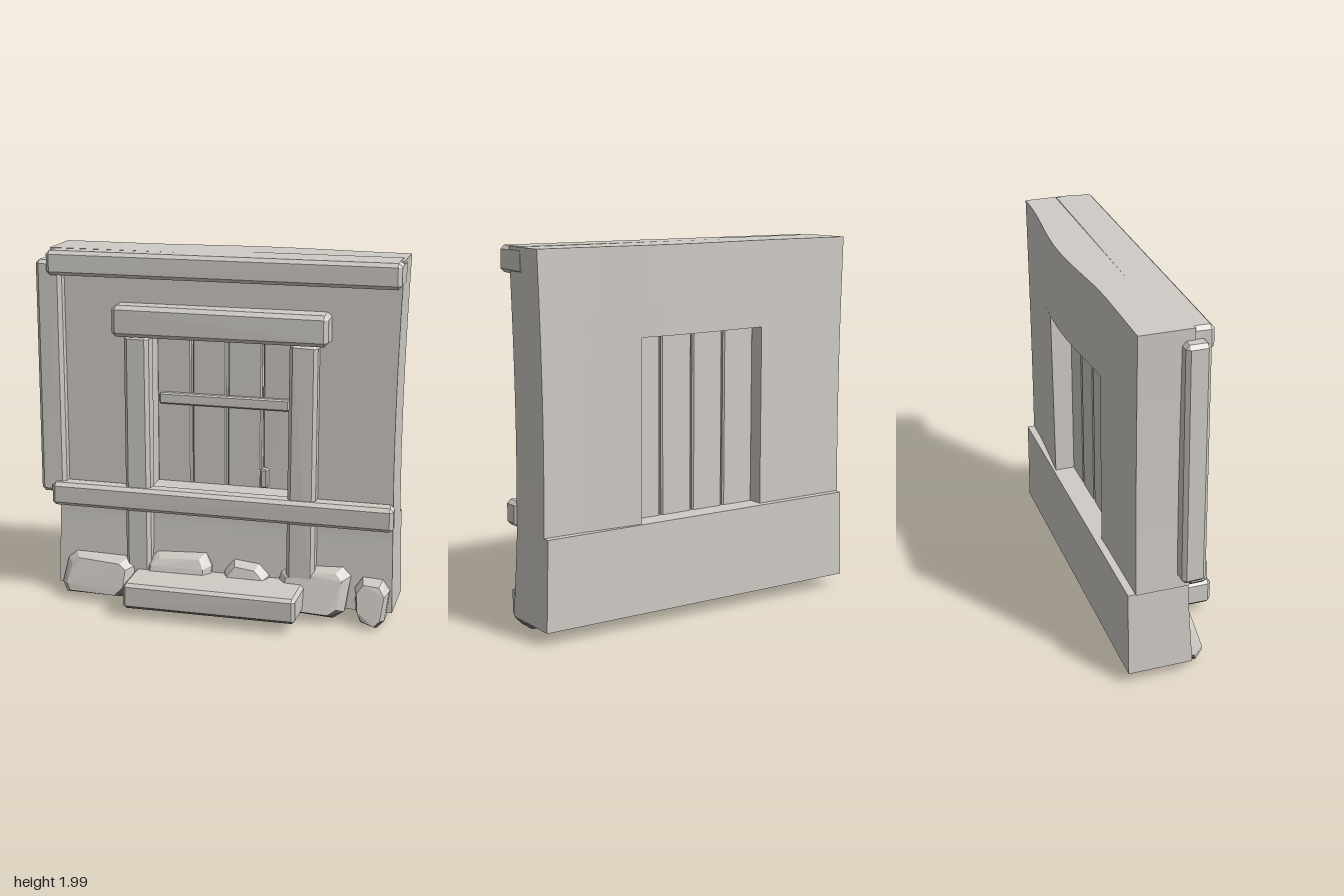
import * as THREE from 'three';
import { ConvexGeometry } from 'three/addons/geometries/ConvexGeometry.js';

export function createModel() {
  const model = new THREE.Group();
  const clay = new THREE.MeshStandardMaterial({ color: 0xcfcbc5 });
  clay.name = 'warm grey';
  const dirt = new THREE.MeshStandardMaterial({ color: 0x787571 });
  dirt.name = 'dark underside';

  let seed = 7;
  const jitter = (a) => {
    seed = (seed * 16807) % 2147483647;
    return (seed / 2147483647 - 0.5) * 2 * a;
  };
  const add = (name, geometry, material = clay) => {
    const mesh = new THREE.Mesh(geometry, material);
    mesh.name = name;
    model.add(mesh);
  };

  // Parts resting on the ground: faces that look down get the dark colour
  const addGrounded = (name, geometry) => {
    geometry.clearGroups();
    const normal = geometry.attributes.normal;
    for (let i = 0; i < normal.count; i += 3) {
      geometry.addGroup(i, 3, normal.getY(i) < -0.4 ? 1 : 0);
    }
    add(name, geometry, [clay, dirt]);
  };

  // Chamfered block between two corners, c = chamfer, j = hand-hewn wobble
  const blockGeometry = (x0, x1, y0, y1, z0, z1, c = 0.02, j = 0.003) => {
    const points = [];
    const half = [(x1 - x0) / 2, (y1 - y0) / 2, (z1 - z0) / 2];
    for (const sx of [-1, 1]) for (const sy of [-1, 1]) for (const sz of [-1, 1]) {
      const wobble = [jitter(j), jitter(j), jitter(j)];
      for (let axis = 0; axis < 3; axis++) {
        const p = [sx, sy, sz].map((s, i) => s * (half[i] - (i === axis ? 0 : c) - j) + wobble[i]);
        points.push(new THREE.Vector3((x0 + x1) / 2 + p[0], (y0 + y1) / 2 + p[1], (z0 + z1) / 2 + p[2]));
      }
    }
    return new ConvexGeometry(points);
  };
  const block = (name, ...size) => add(name, blockGeometry(...size));

  // Wall sections, warped so the sides pinch in, the back swells and the foot flares
  const wallGeometry = (x0, x1, y0, y1, z0, z1, swell) => {
    const box = new THREE.BoxGeometry(x1 - x0, y1 - y0, z1 - z0, 24, 8, 1);
    box.translate((x0 + x1) / 2, (y0 + y1) / 2, (z0 + z1) / 2);
    const p = box.attributes.position;
    for (let i = 0; i < p.count; i++) {
      let x = p.getX(i), y = p.getY(i), z = p.getZ(i);
      if (z < -0.2) {
        const t = Math.min(1, Math.abs(x - 0.22) / 0.72);
        z -= swell * (0.6 + 0.2 * y) * (0.5 + 0.5 * Math.cos(Math.PI * t));
      } else {
        z += 0.025 * Math.max(0, 1 - (y - 0.07) / 0.4);
      }
      const edge = Math.max(0, Math.abs(x) - 0.5) / 0.48;
      x -= Math.sign(x) * 0.018 * edge * Math.sin(Math.PI * (y - 0.07) / 1.91);
      p.setXYZ(i, x, y, z);
    }
    const flat = box.toNonIndexed();
    flat.computeVertexNormals();
    return flat;
  };
  const L = -0.365, R = 0.42, SILL = 0.55, HEAD = 1.52;
  addGrounded('lowerWall', wallGeometry(-0.92, 0.995, 0.07, SILL, -0.32, 0.005, 0));
  add('wallRightOfWindow', wallGeometry(-0.93, L, SILL, HEAD, -0.28, 0.005, 0.045));
  add('wallLeftOfWindow', wallGeometry(R, 0.995, SILL, HEAD, -0.28, 0.005, 0.045));
  add('wallAboveWindow', wallGeometry(-0.93, 0.995, HEAD, 1.984, -0.28, 0.005, 0.045));

  // Window sill and shutter planks with narrow gaps
  block('windowSill', L - 0.02, R + 0.02, 0.54, 0.675, -0.13, 0.004, 0.003, 0);
  const seams = [L - 0.01, -0.17, 0.03, 0.23, R + 0.01];
  for (let i = 0; i < 4; i++) {
    block('shutterPlank', seams[i] + 0.003, seams[i + 1] - 0.003, 0.54, 1.53, -0.2, -0.123, 0.008, 0.001);
  }
  block('shutterBar', -0.35, 0.385, 1.125, 1.19, -0.13, -0.09, 0.008, 0.001);
  block('shutterHandle', 0.228, 0.27, 0.685, 0.795, -0.13, -0.075, 0.008, 0.001);

  // Timber frame
  block('rightPost', -0.505, -0.355, 0.1, 1.54, -0.03, 0.08);
  block('leftPost', 0.41, 0.572, 0.1, 1.54, -0.03, 0.08);
  block('lintel', -0.555, 0.632, 1.53, 1.705, -0.03, 0.12, 0.022);
  block('topBeam', -0.925, 0.999, 1.845, 1.988, -0.13, 0.112);
  block('middleRail', -0.93, 0.995, 0.545, 0.682, -0.01, 0.105);
  block('cornerPost', -1, -0.85, 0.61, 1.925, -0.065, 0.068);

  // Door step
  addGrounded('step', blockGeometry(-0.453, 0.52, 0.06, 0.21, -0.02, 0.325, 0.018));

  // Foundation stones: front outline, swollen in the middle, leaning back and turned by yaw
  const stone = (outline, front, yaw = 0) => {
    const cx = outline.reduce((s, p) => s + p[0], 0) / outline.length;
    const cy = outline.reduce((s, p) => s + p[1], 0) / outline.length;
    const points = [];
    for (const [z, k] of [[front, 0.8], [front - 0.05, 1], [-0.05, 1], [-0.12, 0.8]]) {
      for (const [x, y] of outline) {
        points.push(new THREE.Vector3(cx + (x - cx) * k, cy + (y - cy) * k,
          z - 0.22 * (y - 0.1) + yaw * (x - cx) + jitter(0.006)));
      }
    }
    addGrounded('foundationStone', new ConvexGeometry(points));
  };
  stone([[-0.89, 0.08], [-0.86, 0.03], [-0.52, 0.04], [-0.46, 0.1], [-0.45, 0.22], [-0.5, 0.255], [-0.81, 0.26], [-0.86, 0.22]], 0.125, 0.1);
  stone([[-0.43, 0.09], [-0.38, 0.01], [-0.1, 0.035], [-0.03, 0.09], [-0.015, 0.25], [-0.05, 0.315], [-0.33, 0.3], [-0.39, 0.25]], 0.11);
  stone([[0.03, 0.06], [0.09, 0.02], [0.26, 0.01], [0.29, 0.05], [0.31, 0.22], [0.25, 0.28], [0.11, 0.295], [0.06, 0.23]], 0.105);
  stone([[0.35, 0.15], [0.41, 0.04], [0.68, 0.03], [0.74, 0.07], [0.765, 0.26], [0.72, 0.305], [0.44, 0.29], [0.38, 0.25]], 0.11);
  stone([[0.8, 0.08], [0.83, 0.02], [0.92, 0], [0.96, 0.04], [0.98, 0.2], [0.94, 0.255], [0.83, 0.26], [0.79, 0.2]], 0.115, 0.1);

  return model;
}
